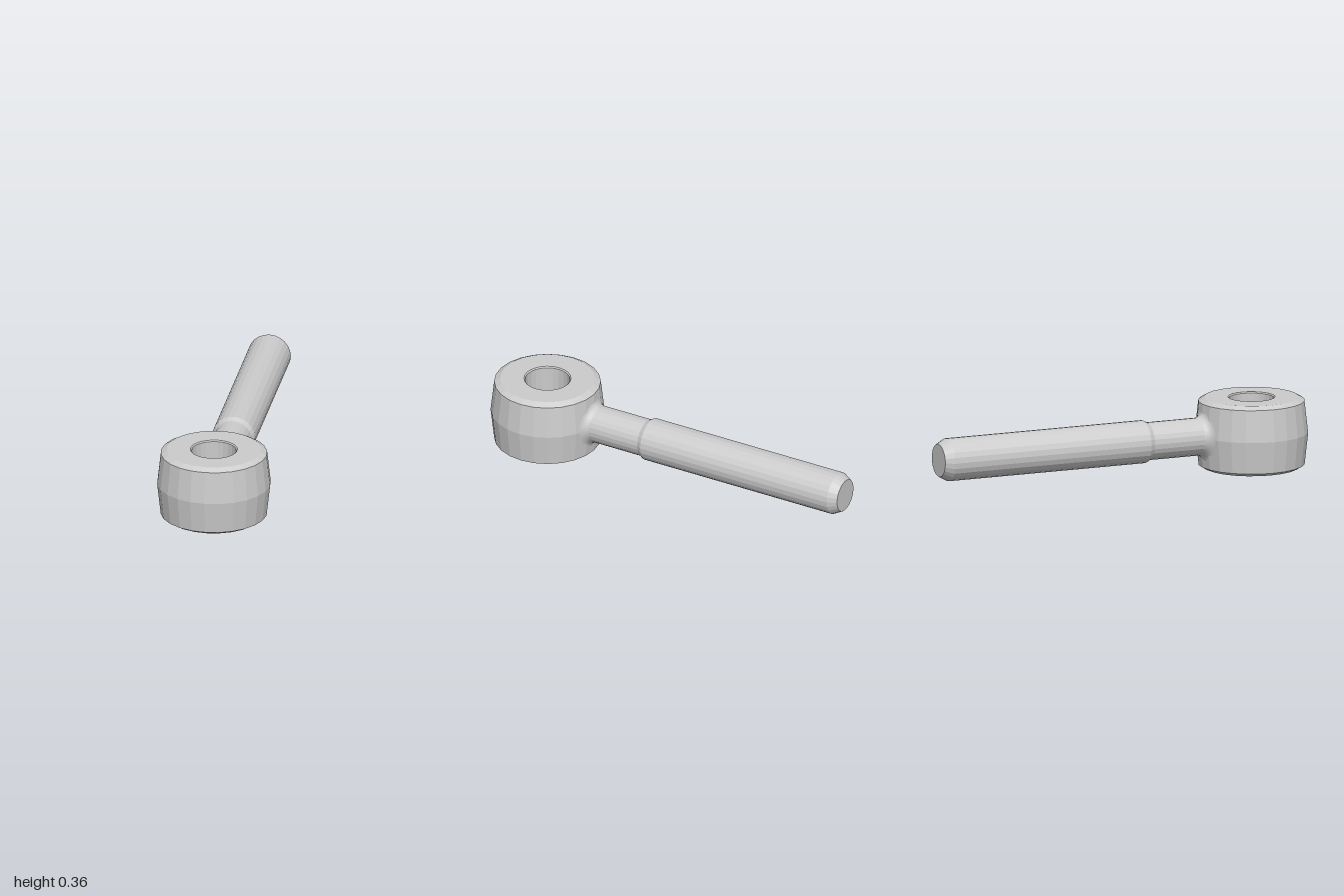
import * as THREE from 'three';

const AXIS_Y = 0.179;   // height of the shaft axis
const HEAD_Z = 0.715;   // centre of the eye
const SIDES = 24;

const flat = new THREE.MeshStandardMaterial({ color: 0xcccccc, flatShading: true });
const smooth = new THREE.MeshStandardMaterial({ color: 0xcccccc });

// Revolve [radius, height] pairs around y
function lathe(points, sides = SIDES) {
  return new THREE.LatheGeometry(points.map(([r, h]) => new THREE.Vector2(r, h)), sides);
}

function addPart(group, name, geometry, material) {
  const mesh = new THREE.Mesh(geometry, material);
  mesh.name = name;
  group.add(mesh);
}

// Barrel-shaped eye with chamfered rims and a through bore
function eyeGeometry() {
  return lathe([
    [0.112, 0.006], [0.118, 0], [0.237, 0], [0.267, 0.017], [0.285, AXIS_Y],
    [0.267, 0.341], [0.237, 0.358], [0.118, 0.358], [0.112, 0.352], [0.112, 0.006],
  ]).translate(0, 0, HEAD_Z);
}

// Stepped round rod running backwards, chamfered at its end
function shaftGeometry() {
  const profile = [[0.095, 0.5], [0.095, 0.145], [0.108, 0.12], [0.108, -0.955], [0.083, -1], [0, -1]];
  return lathe(profile.map(([r, z]) => [r, -z]))
    .rotateX(-Math.PI / 2)
    .translate(0, AXIS_Y, 0);
}

// Fillet between neck and eye, its rings bent to follow the barrel surface
function filletGeometry() {
  const size = 0.03, steps = 6, profile = [];
  for (let i = steps; i >= 0; i--) {
    const a = (i / steps) * Math.PI / 2;
    profile.push([0.095 + size * (1 - Math.cos(a)), size * (1 - Math.sin(a)) - 0.002]);
  }
  const geometry = lathe(profile).rotateX(-Math.PI / 2);
  const pos = geometry.attributes.position;
  for (let i = 0; i < pos.count; i++) {
    const x = pos.getX(i);
    const barrelRadius = 0.285 - 0.11 * Math.abs(pos.getY(i));
    pos.setZ(i, pos.getZ(i) + HEAD_Z - Math.sqrt(barrelRadius ** 2 - x * x));
  }
  geometry.translate(0, AXIS_Y, 0);
  geometry.computeVertexNormals();
  return geometry;
}

export function createModel() {
  const group = new THREE.Group();
  group.name = 'eyeBolt';
  addPart(group, 'eye', eyeGeometry(), flat);
  addPart(group, 'shaft', shaftGeometry(), flat);
  addPart(group, 'neckFillet', filletGeometry(), smooth);
  return group;
}
